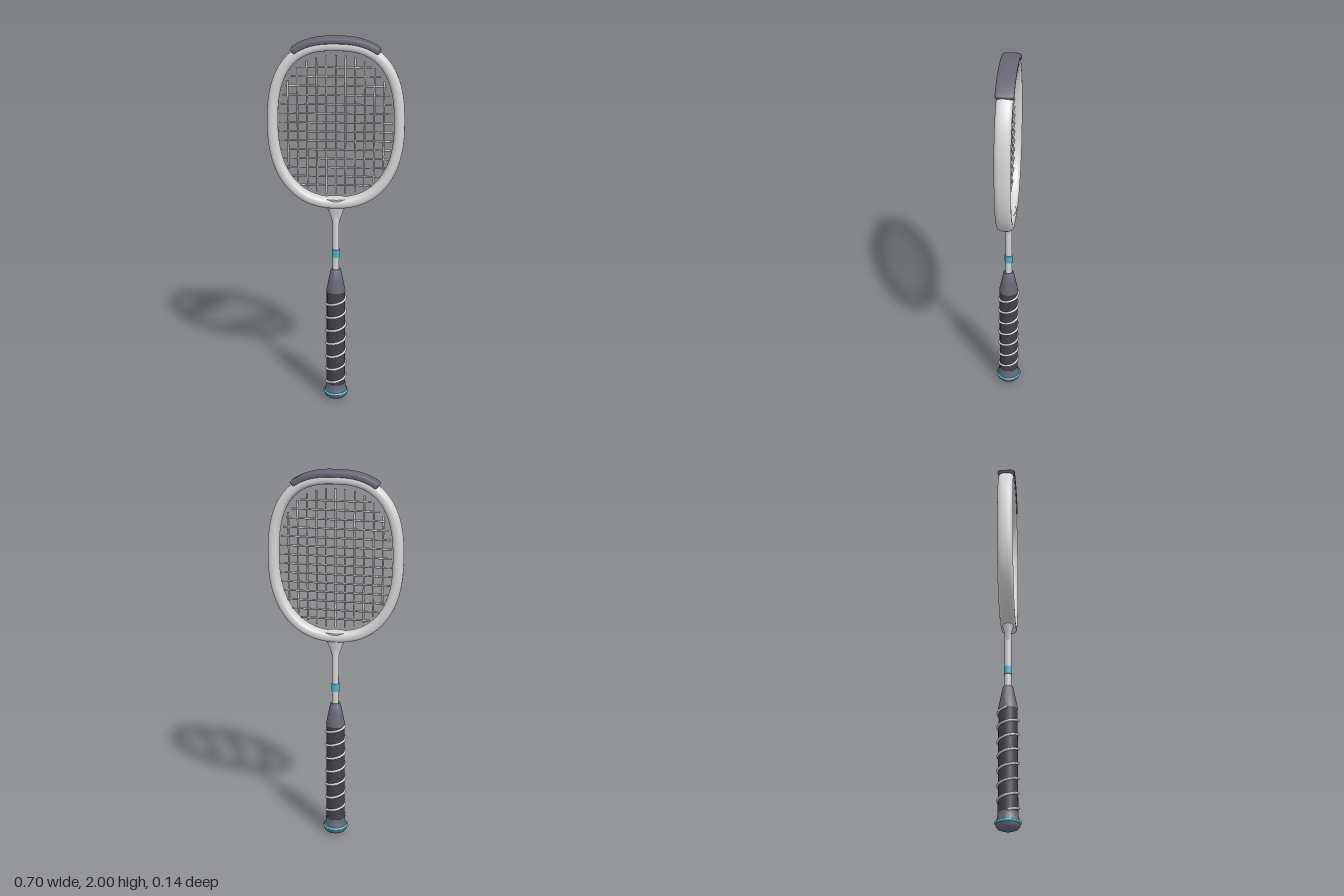
import * as THREE from 'three';
import { toCreasedNormals } from 'three/addons/utils/BufferGeometryUtils.js';

const mat = (name, color) => Object.assign(new THREE.MeshStandardMaterial({ color }), { name });
const CENTRE_Y = 1.5445, HALF_W = 0.3225, HALF_H = 0.4125;

// signed power, for superellipses
const spow = (v, e) => Math.sign(v) * Math.pow(Math.abs(v), e);

// Point and outward normal on the head's centre line
function headCurve(t) {
  const c = Math.cos(t), s = Math.sin(t);
  const n = s > 0 ? 2.6 : 2.3; // crown is squarer than the base
  const x = spow(c, 2 / n), y = spow(s, 2 / n);
  const normal = new THREE.Vector2(spow(x, n - 1) / HALF_W, spow(y, n - 1) / HALF_H).normalize();
  return { x: x * HALF_W, y: y * HALF_H + CENTRE_Y, normal };
}

// Sweeps a rounded section along the head; each ring is [angle, scale]
function sweepHead(rings, closed, halfThick, halfDepth, offset, power) {
  const sides = 24, pos = [], index = [];
  for (const [t, scale] of rings) {
    const p = headCurve(t);
    for (let j = 0; j < sides; j++) {
      const a = (j / sides) * Math.PI * 2;
      const u = offset + spow(Math.cos(a), 2 / power) * halfThick * scale;
      const v = spow(Math.sin(a), 2 / power) * halfDepth * scale;
      pos.push(p.x + p.normal.x * u, p.y + p.normal.y * u, v);
    }
  }
  const count = rings.length;
  for (let i = 0; i < (closed ? count : count - 1); i++) {
    for (let j = 0; j < sides; j++) {
      const k = (j + 1) % sides, n = (i + 1) % count;
      const a = i * sides + j, b = n * sides + j, c = i * sides + k, d = n * sides + k;
      index.push(a, b, c, b, d, c);
    }
  }
  const g = new THREE.BufferGeometry();
  g.setAttribute('position', new THREE.Float32BufferAttribute(pos, 3));
  g.setIndex(index);
  g.computeVertexNormals();
  return g;
}

// Turned part from [radius, y] pairs, bottom to top
function turned(points) {
  const g = new THREE.LatheGeometry(points.map(([r, y]) => new THREE.Vector2(r, y)), 24);
  return toCreasedNormals(g, 0.6);
}

// Cord winding up the handle
class Helix extends THREE.Curve {
  getPoint(t, target = new THREE.Vector3()) {
    const a = -Math.PI / 2 + t * 7 * Math.PI * 2;
    return target.set(Math.sin(a) * 0.052, 0.093 + t * 0.539, Math.cos(a) * 0.052);
  }
}

export function createModel() {
  const model = new THREE.Group();
  const paleGrey = mat('paleGrey', 0xd6d6d6);
  const slate = mat('slate', 0x686874);
  const charcoal = mat('charcoal', 0x424248);
  const teal = mat('teal', 0x4db4ca);
  const stringGrey = mat('stringGrey', 0xd2d0cc);

  const add = (name, geometry, material, parent = model) => {
    const mesh = new THREE.Mesh(geometry, material);
    mesh.name = name;
    parent.add(mesh);
    return mesh;
  };

  // Head frame
  const loop = Array.from({ length: 96 }, (_, i) => [((i + 0.5) / 96) * Math.PI * 2, 1]);
  add('headFrame', sweepHead(loop, true, 0.0275, 0.041, 0, 2.6), paleGrey);

  // Bumper over the crown, rounded at both ends
  const reach = 0.575, top = Math.PI / 2, arc = [];
  arc.push([top - reach, 0], [top - reach, 0.75], [top - reach + 0.012, 0.93]);
  for (let i = 0; i <= 28; i++) arc.push([top + (reach - 0.03) * (i / 14 - 1), 1]);
  arc.push([top + reach - 0.012, 0.93], [top + reach, 0.75], [top + reach, 0]);
  add('bumper', sweepHead(arc, false, 0.0165, 0.046, 0.0265, 4.5), slate);

  // String bed
  const strings = new THREE.Group();
  strings.name = 'strings';
  model.add(strings);
  const bedW = 0.29, bedH = 0.363, span = (v, half, other) =>
    other * Math.pow(1 - Math.pow(Math.abs(v / half), 2.4), 1 / 2.4);
  const stringGeometry = (length) => new THREE.CylinderGeometry(0.005, 0.005, length, 6);
  for (let i = -5; i <= 5; i++) {
    const x = i * 0.0487;
    const s = add('mainString', stringGeometry(2 * span(x, bedW, bedH)), stringGrey, strings);
    s.position.set(x, CENTRE_Y, 0.002);
  }
  for (let i = 0; i < 14; i++) {
    const y = (i - 6.5) * 0.0475;
    const s = add('crossString', stringGeometry(2 * span(y, bedH, bedW)), stringGrey, strings);
    s.rotation.z = Math.PI / 2;
    s.position.set(0, CENTRE_Y - 0.008 + y, -0.002);
  }

  // Throat, shaft and band
  const throat = add('throat', turned([[0.018, 1.02], [0.024, 1.045], [0.044, 1.1], [0.066, 1.158], [0, 1.158]]), paleGrey);
  throat.scale.z = 0.6;
  add('shaft', new THREE.CylinderGeometry(0.0175, 0.0175, 0.4, 20).translate(0, 0.92, 0), paleGrey);
  add('shaftBand', new THREE.CylinderGeometry(0.021, 0.021, 0.043, 20).translate(0, 0.851, 0), teal);

  // Handle
  add('gripCone', turned([[0.051, 0.635], [0.049, 0.65], [0.038, 0.705], [0.027, 0.757], [0.024, 0.761], [0, 0.761]]), slate);
  add('grip', new THREE.CylinderGeometry(0.049, 0.051, 0.56, 24).translate(0, 0.36, 0), charcoal);
  add('gripCord', new THREE.TubeGeometry(new Helix(), 200, 0.0065, 8), paleGrey);

  // Butt cap and ring
  add('buttCap', turned([[0, 0], [0.035, 0.002], [0.052, 0.009], [0.061, 0.021], [0.063, 0.036],
    [0.06, 0.05], [0.053, 0.066], [0.052, 0.09], [0, 0.09]]), slate);
  add('buttRing', new THREE.TorusGeometry(0.0605, 0.0075, 10, 32).rotateX(Math.PI / 2).translate(0, 0.039, 0), teal);

  return model;
}
